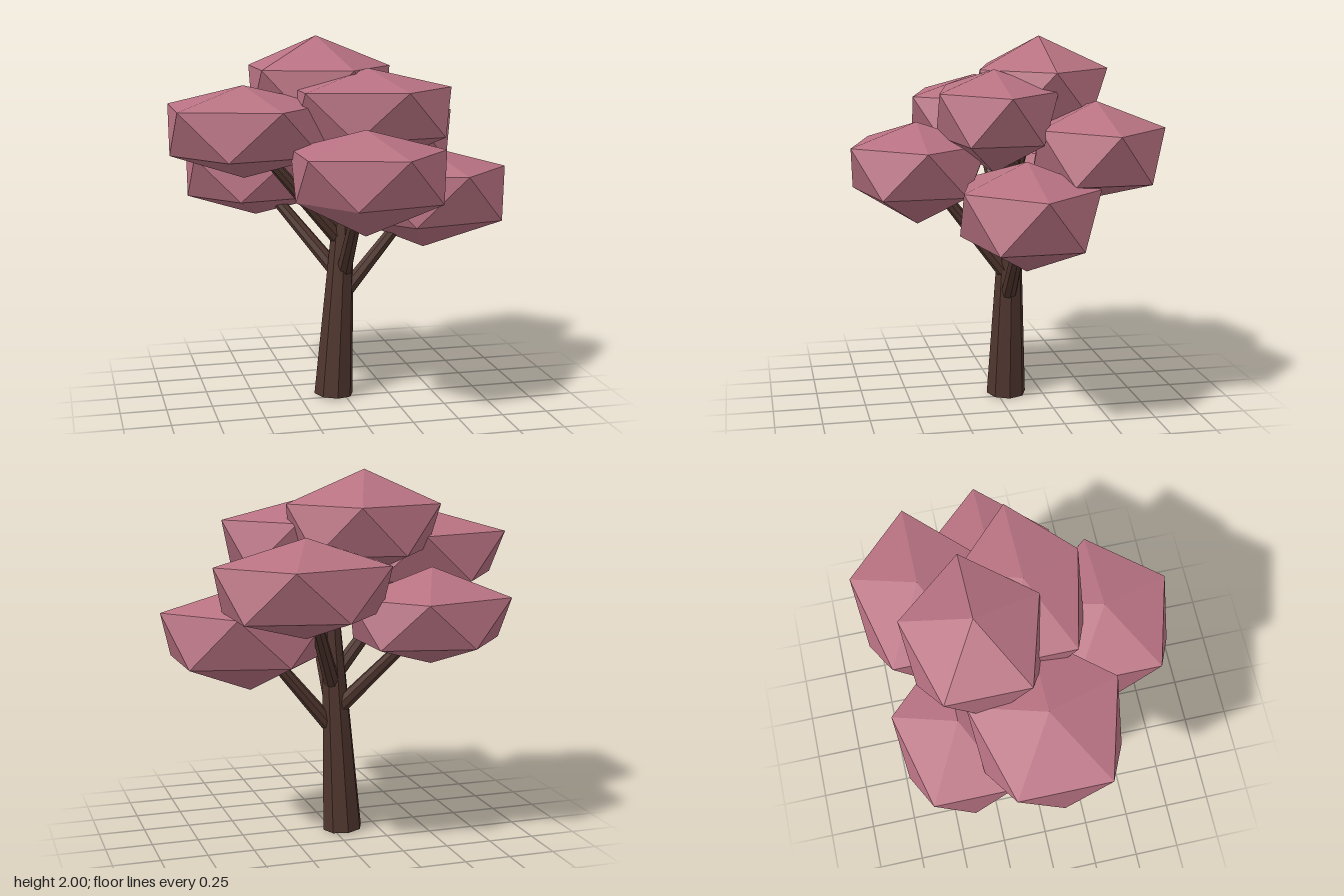
import * as THREE from 'three';

const bark = new THREE.MeshStandardMaterial({ color: 0x4f352e, flatShading: true });
const foliage = new THREE.MeshStandardMaterial({ color: 0xb87282, flatShading: true });

// Tapered limb between two points
function limb(name, from, to, r0, r1, sides) {
  const a = new THREE.Vector3(...from), b = new THREE.Vector3(...to);
  const dir = b.clone().sub(a);
  const mesh = new THREE.Mesh(new THREE.CylinderGeometry(r1, r0, dir.length(), sides), bark);
  mesh.quaternion.setFromUnitVectors(new THREE.Vector3(0, 1, 0), dir.normalize());
  mesh.position.copy(a).add(b).multiplyScalar(0.5);
  mesh.name = name;
  return mesh;
}

// Twenty-sided leaf clump: two poles and two staggered rings of five
function clump(name, [x, z], [rx, rz], [top, upper, lower, bottom]) {
  const pos = [x, top, z, x, bottom, z];
  const index = [];
  const lowerScale = [1, 0.92, 0.85, 0.92, 0.96];
  for (let i = 0; i < 5; i++) {
    const a = (i * 2 * Math.PI) / 5, b = a + Math.PI / 5, s = lowerScale[i];
    pos.push(x + rx * Math.cos(a), upper, z + rz * Math.sin(a));
    pos.push(x + rx * s * Math.cos(b), lower, z + rz * s * Math.sin(b));
    const u = 2 + 2 * i, l = u + 1, un = 2 + 2 * ((i + 1) % 5), ln = un + 1;
    index.push(0, un, u, u, un, l, un, ln, l, 1, l, ln);
  }
  const geo = new THREE.BufferGeometry();
  geo.setAttribute('position', new THREE.Float32BufferAttribute(pos, 3));
  geo.setIndex(index);
  geo.computeVertexNormals();
  const mesh = new THREE.Mesh(geo, foliage);
  mesh.name = name;
  return mesh;
}

export function createModel() {
  const tree = new THREE.Group();
  tree.name = 'tree';

  // Leaning trunk and its thinner upper stem
  tree.add(limb('trunk', [-0.057, 0.01, -0.05], [0.0, 1.0, -0.06], 0.11, 0.06, 8));
  tree.add(limb('upperTrunk', [0.0, 0.99, -0.06], [0.03, 1.5, -0.07], 0.06, 0.035, 8));

  // Branches reaching into the clumps
  const branches = [
    ['leftBranch', [-0.02, 0.56, -0.05], [0.45, 1.13, -0.05]],
    ['frontBranch', [0.0, 0.7, -0.05], [0.0, 1.28, 0.4]],
    ['backRightBranch', [-0.01, 0.68, -0.06], [-0.43, 1.22, -0.38]],
    ['rightBranch', [0.0, 0.87, -0.06], [-0.54, 1.5, 0.02]],
    ['backLeftBranch', [0.0, 0.82, -0.06], [0.26, 1.42, -0.44]],
    ['upperFrontBranch', [0.02, 1.28, -0.06], [0.1, 1.58, 0.05]],
    ['topBranch', [0.01, 1.2, -0.06], [-0.1, 1.7, -0.23]],
  ];
  for (const [name, from, to] of branches) tree.add(limb(name, from, to, 0.045, 0.028, 8));

  // Foliage: centre (x, z), ring radii (x, z), heights from top to bottom
  const clumps = [
    ['topClump', [-0.11, -0.24], [0.42, 0.37], [2.0, 1.83, 1.58, 1.44]],
    ['upperFrontClump', [0.11, 0.05], [0.47, 0.33], [1.84, 1.73, 1.48, 1.29]],
    ['rightClump', [-0.56, 0.03], [0.46, 0.4], [1.76, 1.65, 1.4, 1.27]],
    ['backLeftClump', [0.27, -0.46], [0.475, 0.35], [1.68, 1.55, 1.29, 1.17]],
    ['frontClump', [0.0, 0.45], [0.43, 0.38], [1.56, 1.445, 1.2, 1.01]],
    ['backRightClump', [-0.43, -0.4], [0.45, 0.34], [1.5, 1.35, 1.11, 0.99]],
    ['leftClump', [0.46, -0.05], [0.475, 0.37], [1.4, 1.27, 1.0, 0.83]],
  ];
  for (const c of clumps) tree.add(clump(...c));

  return tree;
}
